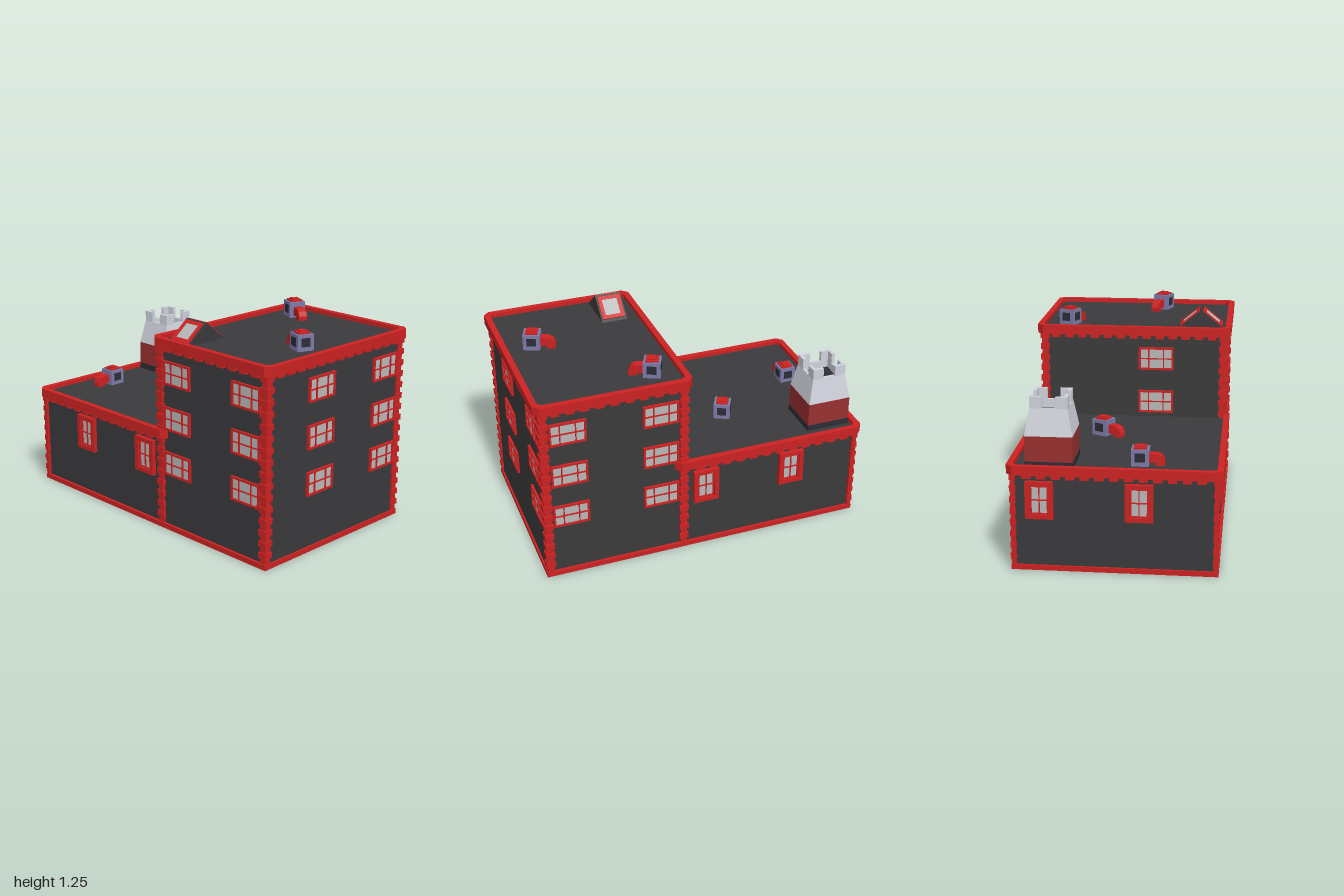
import * as THREE from 'three';

const mat = (color, side = THREE.FrontSide) =>
  new THREE.MeshStandardMaterial({ color, side, flatShading: true });

export function createModel() {
  const model = new THREE.Group();
  const red = mat(0xcc2222), wall = mat(0x3a3a3c, THREE.DoubleSide), glass = mat(0xb8b8b8);
  const lilac = mat(0x7c7aa8), dark = mat(0x2c2d36), pale = mat(0xd0d2dc), brick = mat(0x983030);

  const group = (name, parent = model) => {
    const g = new THREE.Group();
    g.name = name;
    parent.add(g);
    return g;
  };
  const add = (parent, name, geo, m, x = 0, y = 0, z = 0) => {
    const mesh = new THREE.Mesh(geo, m);
    mesh.name = name;
    mesh.position.set(x, y, z);
    parent.add(mesh);
    return mesh;
  };
  const box = (parent, name, m, w, h, d, x, y, z) =>
    add(parent, name, new THREE.BoxGeometry(w, h, d), m, x, y, z);
  const rect = (x0, y0, x1, y1, c = 0) => [
    [x0 + c, y0], [x1 - c, y0], [x1, y0 + c], [x1, y1 - c],
    [x1 - c, y1], [x0 + c, y1], [x0, y1 - c], [x0, y0 + c],
  ].map(([x, y]) => new THREE.Vector2(x, y))
    .filter((p, i, a) => !p.equals(a[(i + 1) % 8]));
  const extrude = (outer, holes, depth) => {
    const s = new THREE.Shape(outer);
    s.holes = holes.map((h) => new THREE.Path(h));
    return new THREE.ExtrudeGeometry(s, { depth, bevelEnabled: false });
  };

  // Hollow block: four walls and a roof, open at the bottom
  const shell = (name, x0, x1, h, z) => {
    const geo = new THREE.BoxGeometry(x1 - x0, h, 2 * z);
    const ix = [...geo.index.array];
    ix.splice(18, 6);
    geo.setIndex(ix);
    geo.clearGroups();
    add(model, name, geo, wall, (x0 + x1) / 2, h / 2, 0);
  };
  shell('tallBlock', 0.12, 0.965, 1.13, 0.557);
  shell('lowBlock', -0.965, 0.119, 0.585, 0.556);

  // Rectangular ring lying flat, for plinths and cornices
  const ring = (name, x0, x1, z, y0, y1, t, c) => {
    const geo = extrude(rect(x0, -z, x1, z, c),
      [rect(x0 + t, -z + t, x1 - t, z - t, c * 0.6)], y1 - y0);
    geo.rotateX(-Math.PI / 2);
    add(model, name, geo, red, 0, y0, 0);
  };
  ring('tallPlinth', 0.105, 0.976, 0.574, 0, 0.03, 0.045, 0);
  ring('lowPlinth', -0.976, 0.15, 0.573, 0, 0.029, 0.045, 0);
  ring('tallCornice', 0.085, 1, 0.592, 1.1, 1.155, 0.035, 0.035);
  ring('lowCornice', -1, 0.187, 0.591, 0.557, 0.61, 0.035, 0.035);

  // Dentil blocks under the cornices
  const dentils = (name, x0, x1, z, y, sides) => {
    const g = group(name);
    const row = (a, b, place) => {
      const n = Math.round((b - a) / 0.082);
      for (let i = 0; i < n; i++) place(a + ((i + 0.5) * (b - a)) / n);
    };
    for (const s of [-1, 1]) row(x0 + 0.04, x1 - 0.04, (x) =>
      box(g, 'dentil', red, 0.05, 0.03, 0.03, x, y, s * (z + 0.01)));
    for (const [x, s] of sides) row(-z + 0.04, z - 0.04, (k) =>
      box(g, 'dentil', red, 0.03, 0.03, 0.05, x + s * 0.01, y, k));
  };
  dentils('tallDentils', 0.12, 0.965, 0.557, 1.094, [[0.12, -1], [0.965, 1]]);
  dentils('lowDentils', -0.965, 0.12, 0.557, 0.551, [[-0.965, -1]]);

  // Corner stones alternating wide and narrow
  const quoins = (name, x, z, wide, narrow, top) => {
    const g = group(name);
    const n = Math.round((top - 0.03) / 0.033), h = (top - 0.03) / n;
    for (let i = 0; i < n; i++) {
      const s = i % 2 ? wide : narrow;
      box(g, 'cornerStone', red, s, h, s, x, 0.03 + (i + 0.5) * h, z);
    }
  };
  for (const s of [-1, 1]) {
    quoins('tallRightQuoins', 0.95, s * 0.548, 0.055, 0.04, 1.1);
    quoins('tallLeftQuoins', 0.134, s * 0.548, 0.055, 0.04, 1.1);
    quoins('lowQuoins', -0.961, s * 0.558, 0.034, 0.026, 0.557);
  }

  // Window: frame with one hole per pane, glass behind
  const lattice = (w, h, t, bar, cols) => {
    const holes = [];
    for (let i = 0; i + 1 < cols.length; i++) for (const j of [0, 1]) {
      const x = (k) => -w / 2 + t + (w - 2 * t) * k;
      const y0 = j ? bar / 2 : -h / 2 + t, y1 = j ? h / 2 - t : -bar / 2;
      holes.push(rect(x(cols[i]) + (i ? bar / 2 : 0), y0,
        x(cols[i + 1]) - (i + 2 < cols.length ? bar / 2 : 0), y1));
    }
    return holes;
  };
  const addWindow = (x, y, z, turn, low) => {
    const g = group(low ? 'sashWindow' : 'wideWindow');
    g.position.set(x, y, z);
    g.rotation.y = turn;
    const [w, h] = low ? [0.1, 0.165] : [0.213, 0.14];
    const d = low ? 0.028 : 0.03;
    const cols = low ? [0, 0.5, 1] : [0, 0.26, 0.74, 1];
    add(g, 'frame', extrude(rect(-w / 2, -h / 2, w / 2, h / 2),
      lattice(w, h, low ? 0.008 : 0.012, 0.006, cols), d), red, 0, 0, -d / 2);
    box(g, 'glass', glass, w - 0.01, h - 0.01, 0.014, 0, 0, 0);
    if (low) add(g, 'casing', extrude(rect(-0.078, -0.107, 0.078, 0.107),
      [rect(-w / 2, -h / 2, w / 2, h / 2)], 0.05), red, 0, 0, -0.025);
  };
  const q = Math.PI / 2;
  for (const y of [0.41, 0.682, 0.953]) {
    for (const x of [0.272, 0.812]) for (const s of [-1, 1])
      addWindow(x, y, s * 0.557, s > 0 ? 0 : Math.PI, false);
    for (const z of [0.137, -0.41]) addWindow(0.965, y, z, q, false);
    addWindow(0.12, y, 0.137, -q, false);
  }
  for (const x of [-0.545, -0.003]) for (const s of [-1, 1])
    addWindow(x, 0.412, s * 0.557, s > 0 ? 0 : Math.PI, true);
  for (const z of [0.137, -0.41]) addWindow(-0.965, 0.412, z, -q, true);

  // Chimney: dark foot, brick band, tapered shaft and notched crown
  const chimney = group('chimney');
  chimney.position.set(-0.817, 0, -0.358);
  box(chimney, 'foot', dark, 0.268, 0.04, 0.268, 0, 0.602, 0);
  box(chimney, 'brickBand', brick, 0.264, 0.145, 0.264, 0, 0.6925, 0);
  const shaft = new THREE.CylinderGeometry(0.104 * Math.SQRT2, 0.132 * Math.SQRT2, 0.15, 4, 1, true);
  shaft.rotateY(Math.PI / 4);
  add(chimney, 'shaft', shaft, pale, 0, 0.84, 0);
  const lining = new THREE.BoxGeometry(0.168, 0.11, 0.168);
  const rim = extrude(rect(-0.104, -0.104, 0.104, 0.104), [rect(-0.084, -0.084, 0.084, 0.084)], 0.05);
  rim.rotateX(-q);
  add(chimney, 'rim', rim, pale, 0, 0.866, 0);
  add(chimney, 'flue', lining, dark, 0, 0.815, 0);
  for (const sx of [-1, 1]) for (const sz of [-1, 1]) {
    box(chimney, 'merlon', pale, 0.067, 0.064, 0.02, sx * 0.0705, 0.948, sz * 0.094);
    box(chimney, 'merlon', pale, 0.02, 0.064, 0.047, sx * 0.094, 0.948, sz * 0.0605);
  }

  // Roof ventilators: box with cap, grilles and a bent duct towards local +z
  const duct = new THREE.Shape();
  duct.moveTo(0.04, 0.015);
  duct.lineTo(0.04, 0.066);
  duct.lineTo(0.095, 0.066);
  duct.lineTo(0.122, 0.052);
  duct.lineTo(0.135, 0.025);
  duct.lineTo(0.135, 0);
  duct.lineTo(0.085, 0);
  duct.lineTo(0.085, 0.015);
  const ductGeo = new THREE.ExtrudeGeometry(duct, { depth: 0.05, bevelEnabled: false });
  ductGeo.translate(0, 0, -0.025).rotateY(-q);
  for (const [x, y, z, dx, dz] of [
    [0.268, 1.13, -0.412, 0.9, 0.42], [0.812, 1.13, 0.13, -0.92, -0.36],
    [-0.275, 0.585, -0.14, -0.46, 0.88], [-0.817, 0.585, 0.13, 0, 1],
  ]) {
    const v = group('ventilator');
    v.position.set(x, y, z);
    v.rotation.y = Math.atan2(dx, dz);
    box(v, 'housing', lilac, 0.098, 0.094, 0.098, 0, 0.047, 0);
    box(v, 'cap', red, 0.072, 0.01, 0.072, 0, 0.098, 0);
    box(v, 'capTop', red, 0.046, 0.01, 0.046, 0, 0.105, 0);
    box(v, 'sideGrilles', dark, 0.102, 0.05, 0.055, 0, 0.05, 0);
    box(v, 'backGrille', dark, 0.055, 0.05, 0.01, 0, 0.05, -0.046);
    add(v, 'duct', ductGeo, red);
  }

  // Gabled skylight with a framed pane on each slope
  const skylight = group('skylight');
  skylight.position.set(0.267, 1.13, 0.405);
  const gable = new THREE.Shape([[-0.142, 0], [0.142, 0], [0, 0.115]]
    .map(([x, y]) => new THREE.Vector2(x, y)));
  const gableGeo = new THREE.ExtrudeGeometry(gable, { depth: 0.158, bevelEnabled: false });
  gableGeo.translate(0, 0, -0.079).rotateY(q);
  add(skylight, 'gable', gableGeo, wall);
  for (const s of [0, Math.PI]) {
    const side = group('slope', skylight);
    side.rotation.y = s;
    const panel = group('panel', side);
    panel.position.set(0, 0.0595, 0.0685);
    panel.rotation.x = -Math.atan2(0.142, 0.115);
    add(panel, 'frame', extrude(rect(-0.07, -0.075, 0.07, 0.075),
      [rect(-0.047, -0.052, 0.047, 0.052)], 0.012), red, 0, 0, -0.005);
    box(panel, 'glass', glass, 0.096, 0.106, 0.008, 0, 0, 0);
  }
  return model;
}
